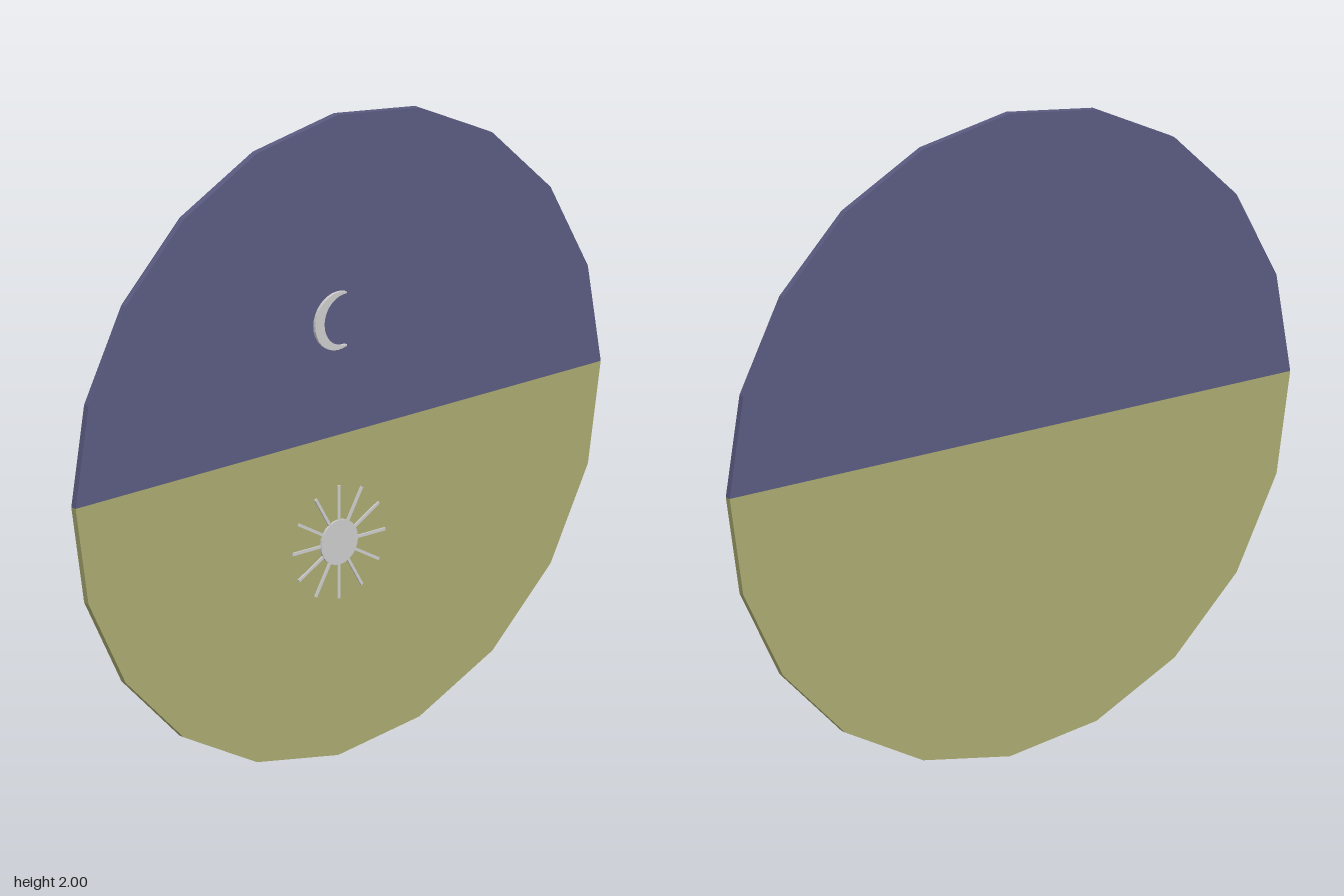
import * as THREE from 'three';

const BACK = -0.015, FACE = 0.005;

function material(color) {
  return new THREE.MeshStandardMaterial({ color, flatShading: true });
}

// Extrude a flat outline from z0 to z1
function slab(name, points, z0, z1, mat) {
  const geo = new THREE.ExtrudeGeometry(new THREE.Shape(points), { depth: z1 - z0, bevelEnabled: false });
  const mesh = new THREE.Mesh(geo.translate(0, 0, z0), mat);
  mesh.name = name;
  return mesh;
}

// Points along an arc, from angle a to angle b
function arc(cx, cy, r, a, b, n) {
  return Array.from({ length: n + 1 }, (_, i) => {
    const t = a + (b - a) * i / n;
    return new THREE.Vector2(cx + r * Math.cos(t), cy + r * Math.sin(t));
  });
}

export function createModel() {
  const group = new THREE.Group();
  group.name = 'dayNightDisc';
  const grey = material(0xcccccc);

  // Two halves of a twenty-sided disc
  group.add(slab('nightHalf', arc(0, 1, 1, 0, Math.PI, 10), BACK, FACE, material(0x5a5a80)));
  group.add(slab('dayHalf', arc(0, 1, 1, Math.PI, 2 * Math.PI, 10), BACK, FACE, material(0xa9a970)));

  // Crescent moon: outer arc out, inner arc back
  const a = Math.acos(0.03 / 0.09), b = Math.acos(0.005 / 0.08);
  const crescent = [
    ...arc(-0.005, 1.36, 0.09, a, 2 * Math.PI - a, 20),
    ...arc(0.02, 1.36, 0.08, 2 * Math.PI - b, b, 18),
  ];
  group.add(slab('moon', crescent, FACE - 0.005, 0.015, grey));

  // Sun: round centre with twelve thin rays
  const sun = new THREE.Group();
  sun.name = 'sun';
  sun.position.set(0, 0.667, 0);
  const centre = new THREE.Mesh(new THREE.CylinderGeometry(0.07, 0.07, 0.012, 24).rotateX(Math.PI / 2), grey);
  centre.name = 'sunCentre';
  centre.position.z = 0.006;
  sun.add(centre);
  const rayGeo = new THREE.BoxGeometry(0.125, 0.009, 0.01).translate(0.1135, 0, 0.005);
  for (let i = 0; i < 12; i++) {
    const ray = new THREE.Mesh(rayGeo, grey);
    ray.name = 'sunRay';
    ray.rotation.z = i * Math.PI / 6;
    sun.add(ray);
  }
  group.add(sun);
  return group;
}
